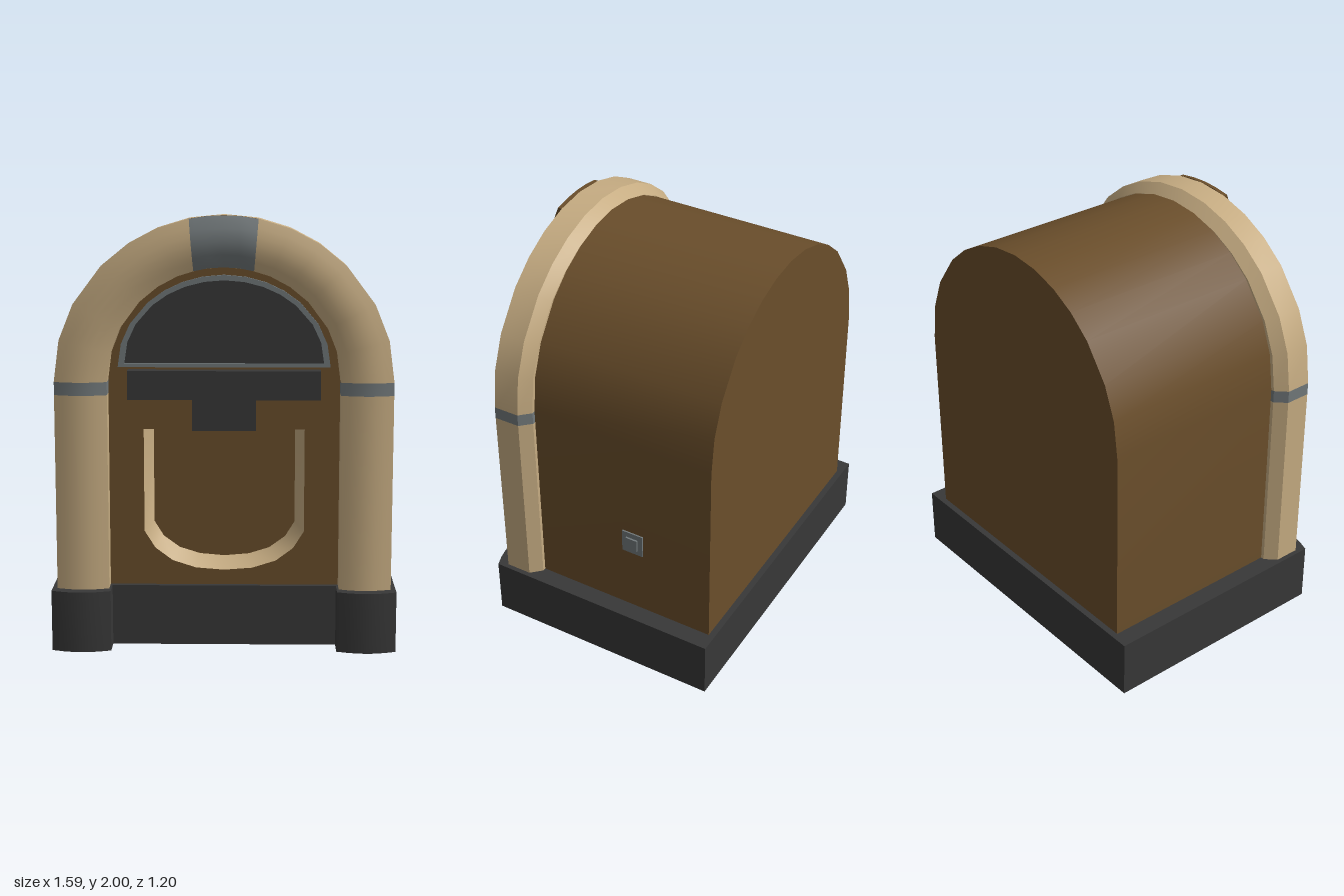
import * as THREE from 'three';
import { toCreasedNormals } from 'three/addons/utils/BufferGeometryUtils.js';

const material = (name, color) => {
  const m = new THREE.MeshStandardMaterial({ color });
  m.name = name;
  return m;
};

// Polygon shape from [x, y] pairs
const polygon = pts => new THREE.Shape(pts.map(p => new THREE.Vector2(...p)));

// Non-indexed geometry from a list of corner triples
function fromCorners(corners) {
  const g = new THREE.BufferGeometry();
  g.setAttribute('position', new THREE.Float32BufferAttribute(corners.flat(), 3));
  return toCreasedNormals(g, 0.55);
}

// Path station: inner and outer edge of the arch band at one angle
const archStation = (outerDeg, innerDeg = outerDeg) => {
  const a = outerDeg * Math.PI / 180, b = innerDeg * Math.PI / 180;
  return {
    outer: [0.77 * Math.cos(a), 1.25 + 0.75 * Math.sin(a)],
    inner: [0.53 * Math.cos(b), 1.25 + 0.52 * Math.sin(b)],
  };
};
const pillarStation = (side, y) => ({ outer: [side * 0.77, y], inner: [side * 0.53, y] });

// Sweeps a section of [u, z] points (u = 0 inner edge, 1 outer edge) along stations
function sweep(section, stations, { closed = true, walls = true, caps = false } = {}) {
  const rows = stations.map(s => section.map(([u, z]) => [
    THREE.MathUtils.lerp(s.inner[0], s.outer[0], u),
    THREE.MathUtils.lerp(s.inner[1], s.outer[1], u), z]));
  const n = section.length, out = [];
  if (walls) for (let i = 0; i < rows.length - 1; i++) {
    for (let j = 0; j < (closed ? n : n - 1); j++) {
      const k = (j + 1) % n, A = rows[i], B = rows[i + 1];
      out.push(A[j], A[k], B[k], A[j], B[k], B[j]);
    }
  }
  if (caps) {
    const first = rows[0], last = rows[rows.length - 1];
    for (let j = 1; j < n - 1; j++) {
      out.push(first[0], first[j + 1], first[j], last[0], last[j], last[j + 1]);
    }
  }
  return fromCorners(out);
}

// Mirrors a right-hand half outline (ending on x = 0) into a full one
const mirrored = half => [...half, ...half.slice(0, -1).reverse().map(([x, y]) => [-x, y])];

// Points of a half ellipse from +x over the top to -x
const ANGLES = [0, 14.6, 28, 44.4, 56, 67, 78.4, 90, 101.6, 113, 124, 135.6, 152, 165.4, 180];
const halfEllipse = (a, b, cy) => ANGLES.map(d => {
  const t = d * Math.PI / 180;
  return [a * Math.cos(t), cy + b * Math.sin(t)];
});

export function createModel() {
  const model = new THREE.Group();
  model.name = 'jukebox';
  const wood = material('brown wood', 0x6a4e2b);
  const cream = material('cream', 0xc6ac82);
  const dark = material('charcoal', 0x383838);
  const metal = material('grey metal', 0x72797b);
  cream.side = THREE.DoubleSide;

  const add = (name, geometry, mat) => {
    const mesh = new THREE.Mesh(geometry, mat);
    mesh.name = name;
    model.add(mesh);
    return mesh;
  };
  const box = (name, mat, x, y, z) => add(name,
    new THREE.BoxGeometry(x[1] - x[0], y[1] - y[0], z[1] - z[0])
      .translate((x[0] + x[1]) / 2, (y[0] + y[1]) / 2, (z[0] + z[1]) / 2), mat);
  const extrude = (shape, z0, z1) => toCreasedNormals(
    new THREE.ExtrudeGeometry(shape, { depth: z1 - z0, bevelEnabled: false }).translate(0, 0, z0), 0.55);

  // Base plinth with two bowed front feet, drawn in plan as [x, z]
  const plan = polygon(mirrored([
    [0.793, -0.6], [0.793, 0.57], [0.74, 0.588], [0.69, 0.598], [0.655, 0.6],
    [0.62, 0.598], [0.57, 0.588], [0.52, 0.572], [0.52, 0.47], [0, 0.47]]));
  add('base', extrude(plan, 0, 0.284).rotateX(Math.PI / 2).translate(0, 0.285, 0), dark);
  add('baseUnderside', new THREE.ShapeGeometry(plan).rotateX(Math.PI / 2), wood);

  // Cabinet, with a front panel cut out for the recess
  const cabinetOutline = [[-0.705, 0.285], [0.705, 0.285], ...halfEllipse(0.705, 0.705, 1.25)];
  const rimHalf = [[0.37, 1.02], [0.37, 0.54], [0.32, 0.46], [0.24, 0.4], [0.13, 0.365], [0, 0.355]];
  const floorHalf = [[0.328, 1.02], [0.328, 0.57], [0.285, 0.5], [0.21, 0.445], [0.115, 0.415], [0, 0.405]];
  const rim = mirrored(rimHalf), floor = mirrored(floorHalf);
  add('cabinet', extrude(polygon(cabinetOutline), -0.57, 0.37), wood);
  const panel = polygon(cabinetOutline);
  panel.holes.push(polygon(rim));
  add('frontPanel', extrude(panel, 0.37, 0.445), wood);

  // Sloping cream lining of the recess
  const lining = [];
  for (let j = 0; j < rim.length - 1; j++) {
    const a = [...rim[j], 0.446], b = [...rim[j + 1], 0.446];
    const c = [...floor[j + 1], 0.372], d = [...floor[j], 0.372];
    lining.push(a, c, b, a, d, c);
  }
  add('recessLining', fromCorners(lining), cream);

  // Pillars, metal bands and arch share one bowed section
  const section = [[0, 0.4], [0, 0.525], [0.17, 0.538], [0.34, 0.547], [0.5, 0.55], [0.66, 0.547],
    [0.83, 0.538], [1, 0.525], [1, 0.4], [0.8, 0.35], [0.2, 0.35]];
  for (const side of [1, -1]) {
    const label = side > 0 ? 'left' : 'right';
    const run = (y0, y1) => (side > 0 ? [y0, y1] : [y1, y0]).map(y => pillarStation(side, y));
    add(label + 'Pillar', sweep(section, run(0.28, 1.19)), cream);
    add(label + 'Band', sweep(section, run(1.19, 1.25)), metal);
  }
  add('arch', sweep(section, ANGLES.map(d => archStation(d))), cream);

  // Keystone: grey bowed face on a wooden block
  const face = [[0, 0.545], [0.25, 0.57], [0.5, 0.58], [0.75, 0.57], [1, 0.545]];
  const block = [[1, 0.545], [1, 0.526], [0, 0.526], [0, 0.545]];
  const stations = [-1, -0.5, 0, 0.5, 1].map(t => archStation(90 + 11.6 * t, 90 + 14.8 * t));
  add('keystoneFace', sweep(face, stations, { closed: false }), metal);
  add('keystoneRim', sweep(block, stations, { closed: false }), wood);
  add('keystoneSides', sweep([...face, block[1], block[2]], stations, { walls: false, caps: true }), wood);

  // Display window with a metal frame
  const frame = polygon(halfEllipse(0.485, 0.42, 1.31));
  frame.holes.push(polygon(halfEllipse(0.455, 0.378, 1.328)));
  add('displayFrame', extrude(frame, 0.44, 0.465), metal);
  add('displayWindow', extrude(polygon(halfEllipse(0.458, 0.38, 1.326)), 0.44, 0.455), dark);

  // Control shelf and the block beneath it
  box('controlShelf', dark, [-0.44, 0.44], [1.165, 1.298], [0.44, 0.505]);
  box('controlBlock', dark, [-0.146, 0.146], [1.02, 1.17], [0.44, 0.49]);

  // Button on the left side
  box('buttonPlate', metal, [0.7, 0.712], [0.62, 0.738], [-0.217, -0.108]);
  box('button', metal, [0.7, 0.721], [0.648, 0.71], [-0.192, -0.132]);

  return model;
}
